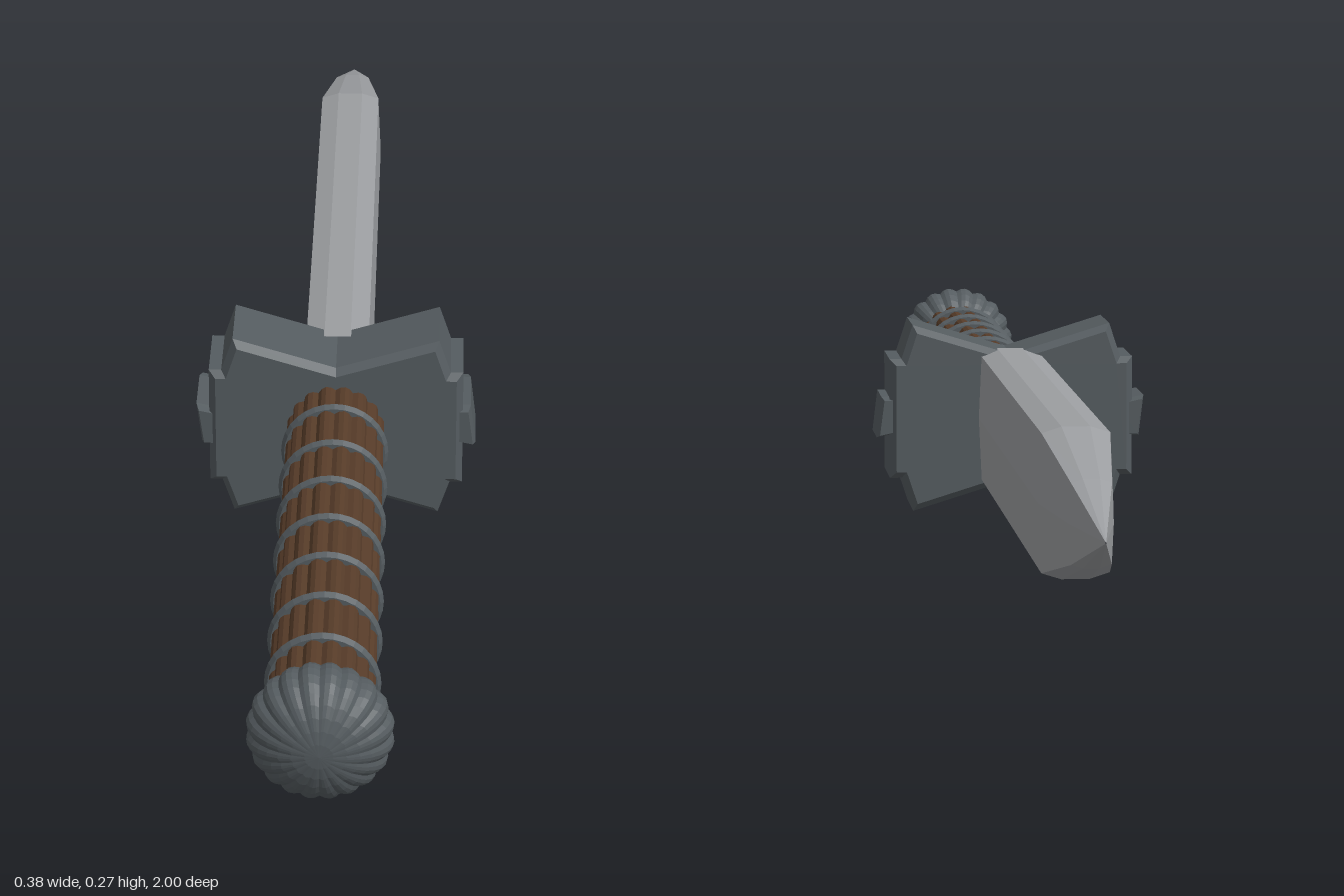
import * as THREE from 'three';

const AXIS_Y = 0.133;

export function createModel() {
  const root = new THREE.Group();
  root.name = 'dagger';
  root.position.y = AXIS_Y; // all parts are built around the z axis

  const mat = (name, color) => {
    const m = new THREE.MeshStandardMaterial({ color, flatShading: true });
    m.name = name;
    return m;
  };
  const steel = mat('blade steel', 0x9b9da0);
  const iron = mat('dark iron', 0x555c60);
  const wood = mat('brown wood', 0x573c29);

  const add = (name, geometry, material, z = 0, parent = root) => {
    const mesh = new THREE.Mesh(geometry, material);
    mesh.name = name;
    mesh.position.z = z;
    parent.add(mesh);
    return mesh;
  };
  const shapeOf = (pts) => new THREE.Shape(pts.map(([x, y]) => new THREE.Vector2(x, y)));

  // Blade: thick bar with a faint side ridge, tapering to a point
  const section = [
    [0.047, 0], [0.043, 0.088], [0.018, 0.096], [-0.018, 0.096], [-0.043, 0.088],
    [-0.047, 0], [-0.043, -0.088], [-0.018, -0.096], [0.018, -0.096], [0.043, -0.088],
  ];
  const stations = [[0.1, 1, 1], [-0.7, 1, 1], [-0.86, 0.58, 0.57], [-1, 0.01, 0.01]]; // z, x scale, y scale
  const n = section.length;
  const pos = [], idx = [];
  for (const [z, sx, sy] of stations) {
    for (const [x, y] of section) pos.push(x * sx, y * sy, z);
  }
  for (let s = 0; s < stations.length - 1; s++) {
    for (let i = 0; i < n; i++) {
      const a = s * n + i, b = s * n + ((i + 1) % n);
      idx.push(a, a + n, b + n, a, b + n, b);
    }
  }
  const bladeGeo = new THREE.BufferGeometry();
  bladeGeo.setAttribute('position', new THREE.Float32BufferAttribute(pos, 3));
  bladeGeo.setIndex(idx);
  const flatBlade = bladeGeo.toNonIndexed();
  flatBlade.computeVertexNormals();
  add('blade', flatBlade, steel);

  // Guard: bow-tie block with stepped, chamfered ends
  const quarter = [[0.14, 0.133], [0.156, 0.085], [0.173, 0.085]];
  const right = [...quarter.map(([x, y]) => [x, -y]), ...[...quarter].reverse()];
  const outline = [[0, -0.09], ...right, [0, 0.09], ...right.map(([x, y]) => [-x, -y])];
  const guard = new THREE.Group();
  guard.name = 'guard';
  root.add(guard);
  add('guardBlock', new THREE.ExtrudeGeometry(shapeOf(outline), {
    depth: 0.1, bevelEnabled: true, bevelThickness: 0.01, bevelSize: 0.009, bevelOffset: -0.009, bevelSegments: 1,
  }), iron, 0.08, guard);

  // Slightly twisted tooth in the middle of each guard end
  for (const side of [0, Math.PI]) {
    const tooth = add('guardTooth', new THREE.ExtrudeGeometry(
      shapeOf([[0.15, -0.02], [0.191, -0.028], [0.175, 0.032], [0.184, 0.03], [0.15, 0.03]].filter((p, i) => i !== 2)), {
        depth: 0.08, bevelEnabled: true, bevelThickness: 0.015, bevelSize: 0.004, bevelOffset: -0.004, bevelSegments: 1,
      }), iron, 0.09, guard);
    tooth.rotation.z = side;
  }

  // Grip: fluted wood
  const lobes = 16;
  const flutes = [];
  for (let i = 0; i < lobes * 4; i++) {
    const a = (i / (lobes * 4)) * Math.PI * 2;
    const r = 0.061 + 0.006 * Math.abs(Math.sin(a * lobes / 2));
    flutes.push([r * Math.cos(a), r * Math.sin(a)]);
  }
  add('grip', new THREE.ExtrudeGeometry(shapeOf(flutes), { depth: 0.72, bevelEnabled: false }), wood, 0.18);

  // Wire rings around the grip
  for (let i = 0; i < 7; i++) {
    add('gripRing', new THREE.TorusGeometry(0.064, 0.0085, 6, 32), iron, 0.25 + i * 0.097);
  }

  // Pommel: flattened ball with scalloped ribs
  const ribs = 20;
  const ball = new THREE.SphereGeometry(1, ribs * 4, 16);
  const p = ball.attributes.position;
  for (let i = 0; i < p.count; i++) {
    const x = p.getX(i), y = p.getY(i), z = p.getZ(i);
    const ripple = 0.94 + 0.06 * Math.abs(Math.sin(Math.atan2(z, x) * ribs / 2));
    p.setXYZ(i, x * ripple * 0.091, y * 0.06, z * ripple * 0.091);
  }
  ball.rotateX(Math.PI / 2);
  ball.computeVertexNormals();
  add('pommel', ball, iron, 0.94);

  return root;
}
